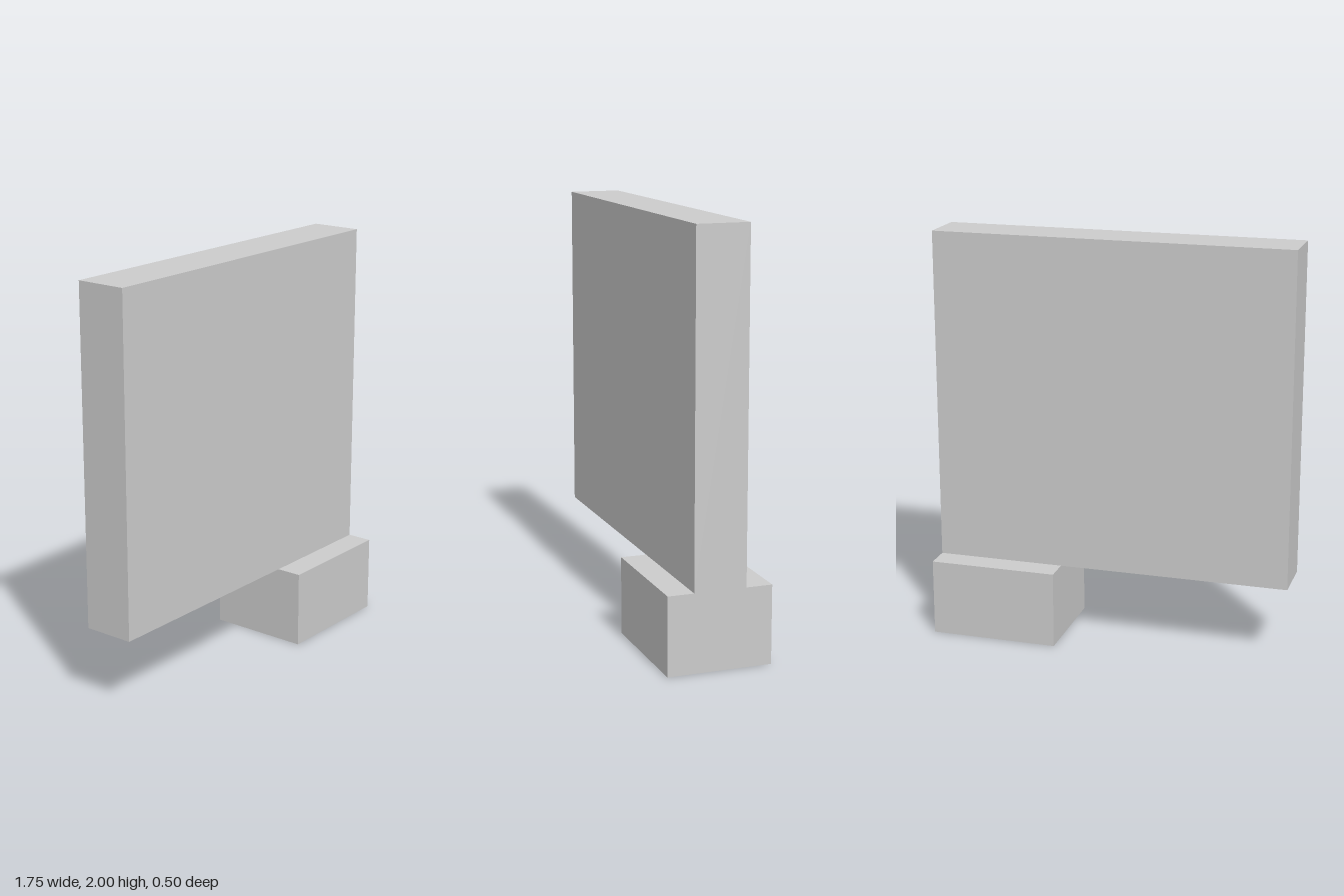
import * as THREE from 'three';

const material = new THREE.MeshStandardMaterial({ color: 0xcccccc, flatShading: true });

// Box given by its minimum and maximum corners
function block(name, min, max) {
  const size = max.map((v, i) => v - min[i]);
  const mesh = new THREE.Mesh(new THREE.BoxGeometry(...size), material);
  mesh.position.set(...max.map((v, i) => (v + min[i]) / 2));
  mesh.name = name;
  return mesh;
}

export function createModel() {
  const model = new THREE.Group();
  model.name = 'panelOnFoot';
  // Upright panel, overhanging to the right
  model.add(block('panel', [-0.875, 0.375, -0.125], [0.875, 2, 0.125]));
  // Foot block under the left end
  model.add(block('foot', [0.25, 0, -0.25], [0.875, 0.375, 0.25]));
  return model;
}
